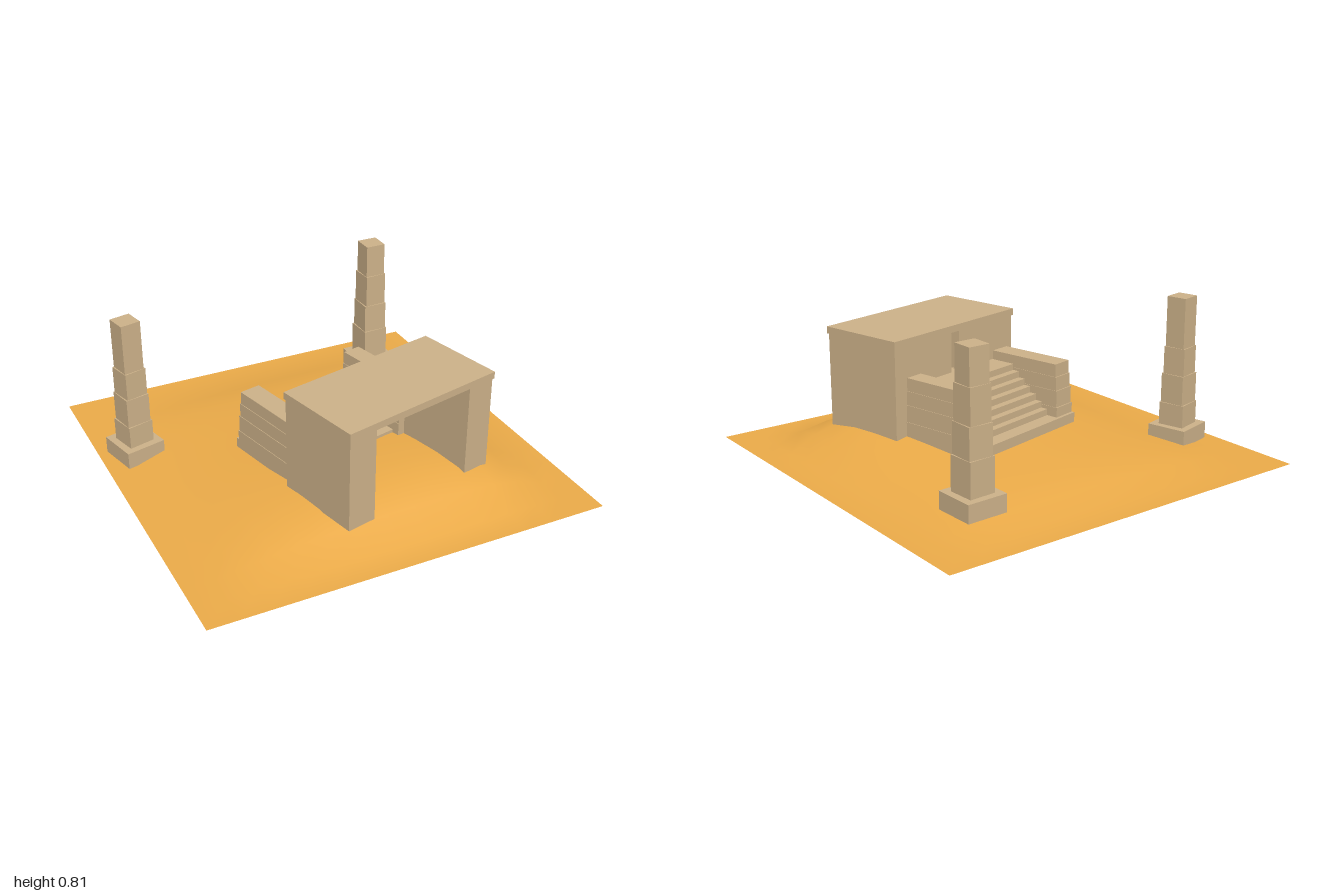
import * as THREE from 'three';

const stone = new THREE.MeshStandardMaterial({ color: 0xcbb088, flatShading: true });
const sand = new THREE.MeshStandardMaterial({ color: 0xeaaa48, side: THREE.DoubleSide });

// Box given by its limits on each axis
function block(parent, name, [x0, x1], [y0, y1], [z0, z1]) {
  const mesh = new THREE.Mesh(new THREE.BoxGeometry(x1 - x0, y1 - y0, z1 - z0), stone);
  mesh.position.set((x0 + x1) / 2, (y0 + y1) / 2, (z0 + z1) / 2);
  mesh.name = name;
  parent.add(mesh);
  return mesh;
}

// Dune: gentle rise from the back left, steep drop at the front and right
function createDune() {
  const alongX = [0, 0, 0.27, 0.5, 0.66, 0.8, 0.91, 0.97, 0.99, 1, 0.96, 0.88, 0.57, 0, 0];
  const alongZ = [0, 0, 0.29, 0.45, 0.55, 0.63, 0.72, 0.82, 0.91, 0.98, 1, 0.93, 0.63, 0, 0];
  const n = alongX.length - 1;
  const geo = new THREE.PlaneGeometry(2, 2, n, n).rotateX(-Math.PI / 2);
  const p = geo.attributes.position;
  for (let i = 0; i < p.count; i++) {
    const ix = Math.round((p.getX(i) + 1) / 2 * n);
    const iz = Math.round((p.getZ(i) + 1) / 2 * n);
    p.setY(i, 0.02 + 0.14 * alongX[ix] * alongZ[iz]);
  }
  geo.computeVertexNormals();
  const dune = new THREE.Mesh(geo, sand);
  dune.name = 'sandDune';
  return dune;
}

// Column of stacked, narrowing blocks on a square plinth
function createColumn(x, z, turn, base, plinthTop, levels) {
  const column = new THREE.Group();
  column.name = 'column';
  column.position.set(x, 0, z);
  column.rotation.y = turn;
  block(column, 'plinth', [-0.104, 0.104], [base, plinthTop], [-0.104, 0.104]);
  let bottom = plinthTop;
  levels.forEach((top, i) => {
    const half = 0.067 - i * 0.005;
    const drum = block(column, 'columnBlock', [-half, half], [bottom, top], [-half, half]);
    drum.rotation.y = (i % 2 ? -1 : 1) * 0.025;
    bottom = top;
  });
  return column;
}

function createTemple() {
  const temple = new THREE.Group();
  temple.name = 'temple';
  temple.position.set(0.14, 0, 0.4575);
  temple.rotation.y = 0.226;

  // Front shelter: roof, side walls and a rear wall with a narrow slot
  block(temple, 'roof', [-0.436, 0.436], [0.595, 0.63], [-0.232, 0.232]);
  block(temple, 'sideWall', [-0.43, -0.28], [0.12, 0.595], [-0.225, 0.225]);
  block(temple, 'sideWall', [0.285, 0.43], [0.12, 0.595], [-0.225, 0.225]);
  block(temple, 'rearWall', [-0.28, -0.024], [0.39, 0.595], [-0.225, -0.185]);
  block(temple, 'rearWall', [0.034, 0.285], [0.39, 0.595], [-0.225, -0.185]);

  // Stairs rising from the back to the landing
  block(temple, 'stairBase', [-0.4, 0.354], [0.115, 0.165], [-0.665, -0.24]);
  const steps = 7;
  for (let i = 1; i <= steps; i++) {
    const top = 0.165 + (0.225 * i) / steps;
    const back = -0.625 + 0.0375 * i;
    const front = i === steps ? -0.17 : back + 0.11;
    const right = i === steps ? 0.285 : 0.255;
    block(temple, i === steps ? 'landing' : 'step', [-0.28, right], [top - 0.033, top], [back, front]);
  }

  // Stepped balustrades beside the stairs
  const tiers = [0.12, 0.215, 0.3, 0.37, 0.435];
  for (const [x0, x1] of [[-0.4, -0.275], [0.247, 0.36]]) {
    for (let i = 0; i < 4; i++) {
      const inset = i * 0.003;
      block(temple, 'balustradeBlock', [x0 + inset, x1 - inset], [tiers[i], tiers[i + 1]],
        [-0.648 + i * 0.006, -0.2]);
    }
  }
  return temple;
}

export function createModel() {
  const model = new THREE.Group();
  model.name = 'desertTemple';
  model.add(createDune(), createTemple());
  model.add(createColumn(-0.825, -0.405, 0.24, 0, 0.105, [0.22, 0.37, 0.51, 0.765]));
  model.add(createColumn(0.615, -0.625, 0.03, 0.065, 0.152, [0.32, 0.47, 0.64, 0.81]));
  return model;
}
